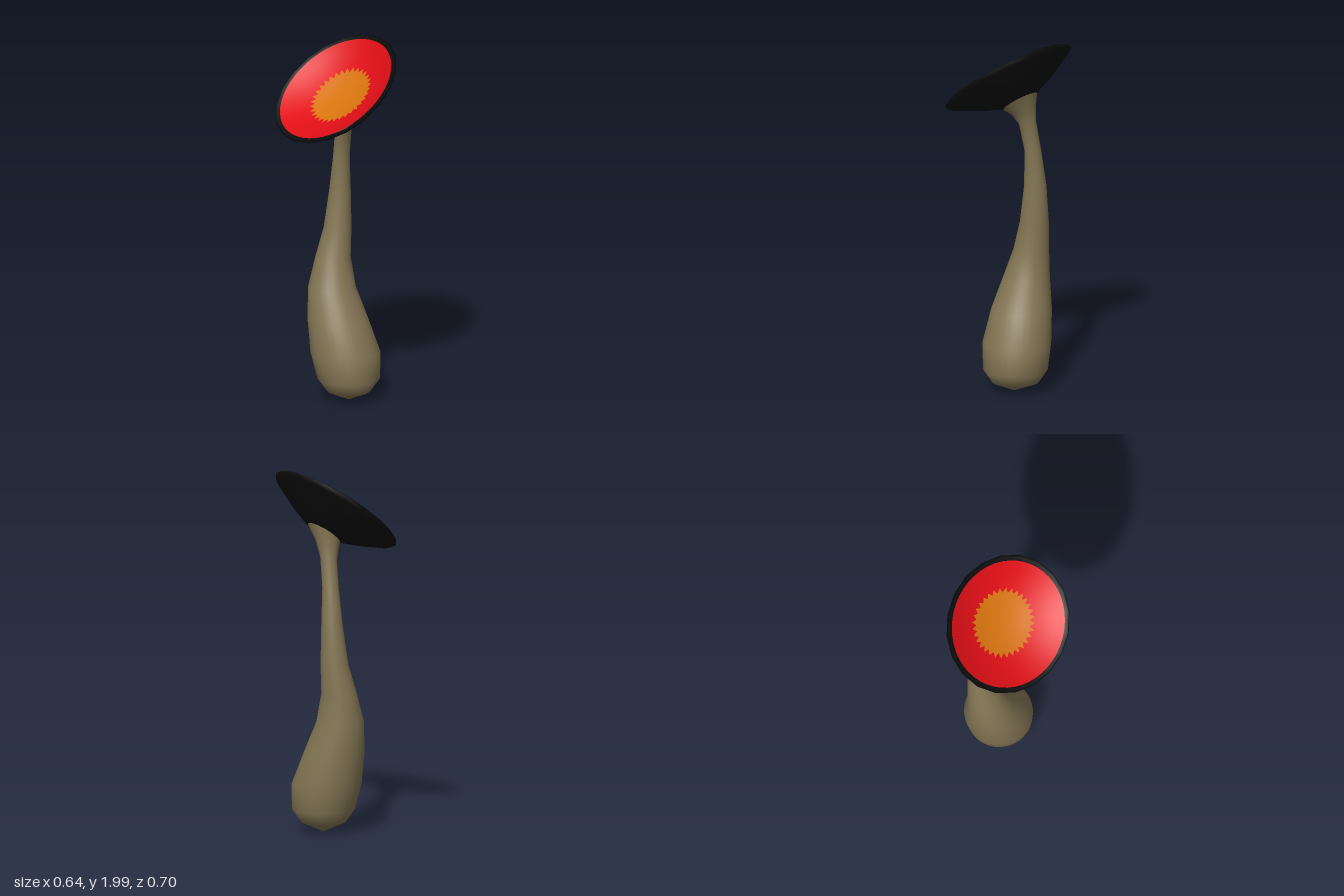
import * as THREE from 'three';
import { mergeVertices } from 'three/addons/utils/BufferGeometryUtils.js';

const UP = new THREE.Vector3(0, 1, 0);
const FACING = new THREE.Vector3(-0.51, 0.78, 0.36).normalize();
const TILT = new THREE.Quaternion().setFromUnitVectors(UP, FACING);

// Stem cross-sections: y, centre x, centre z, radius x, radius z, share of the head's tilt
const SECTIONS = [
  [0.005, 0.07, -0.025, 0, 0, 0],
  [0.06, 0.07, -0.03, 0.12, 0.13, 0],
  [0.13, 0.07, -0.03, 0.17, 0.175, 0],
  [0.27, 0.053, -0.04, 0.188, 0.185, 0],
  [0.45, 0.013, -0.073, 0.163, 0.163, 0],
  [0.62, -0.017, -0.105, 0.128, 0.125, 0],
  [0.78, -0.01, -0.13, 0.095, 0.095, 0],
  [0.94, 0.015, -0.142, 0.075, 0.078, 0],
  [1.15, 0.028, -0.145, 0.058, 0.06, 0],
  [1.35, 0.035, -0.13, 0.045, 0.045, 0.1],
  [1.51, 0.045, -0.1, 0.046, 0.047, 0.4],
  [1.58, 0.053, -0.08, 0.068, 0.068, 0.8],
  [1.64, 0.068, -0.057, 0.1, 0.1, 1],
];

const part = (name, geometry, color) => {
  const mesh = new THREE.Mesh(geometry, new THREE.MeshStandardMaterial({ color, roughness: 0.8 }));
  mesh.name = name;
  return mesh;
};

// Weld the seam and smooth the normals
function smooth(geometry) {
  geometry.deleteAttribute('uv');
  geometry.deleteAttribute('normal');
  const welded = mergeVertices(geometry, 1e-5);
  welded.computeVertexNormals();
  return welded;
}

const lathe = (points, sides) =>
  new THREE.LatheGeometry(points.map(([r, y]) => new THREE.Vector2(r, y)), sides);

// A unit tube whose rings are moved onto the cross-sections
function stemGeometry() {
  const geo = lathe(SECTIONS.map((s, i) => [1, i]), 32);
  const pos = geo.attributes.position;
  const v = new THREE.Vector3();
  const turn = new THREE.Quaternion();
  for (let i = 0; i < pos.count; i++) {
    const [y, cx, cz, rx, rz, tilt] = SECTIONS[Math.round(pos.getY(i))];
    turn.identity().slerp(TILT, tilt);
    v.set(pos.getX(i) * rx, 0, pos.getZ(i) * rz).applyQuaternion(turn);
    pos.setXYZ(i, v.x + cx, v.y + y, v.z + cz);
  }
  return smooth(geo);
}

// Shallow bowl seen inside the head, drawn from the outside in
const DISH_RADIUS = 0.345;
const dishY = (r) => -0.08 + 0.082 * (r / DISH_RADIUS) ** 2;
function dishGeometry(radius, rings, sides, lift) {
  const points = [];
  for (let i = rings; i >= 0; i--) {
    const r = (radius * i) / rings;
    points.push([r, dishY(r) + lift]);
  }
  return lathe(points, sides);
}

// Centre patch with a zigzag edge: every other outer point is pulled in
function starGeometry(tips) {
  const tip = 0.192, valley = 0.164, rings = 5;
  const lift = 0.004;
  const geo = dishGeometry(tip, rings, tips * 2, lift);
  const pos = geo.attributes.position;
  for (let i = 0; i < pos.count; i++) {
    const column = Math.floor(i / (rings + 1));
    const x = pos.getX(i), z = pos.getZ(i);
    const r = Math.hypot(x, z);
    let target = r * 0.85;
    if (i % (rings + 1) === 0) target = column % 2 ? valley : tip;
    const k = r > 1e-6 ? target / r : 0;
    pos.setXYZ(i, x * k, dishY(target) + lift, z * k);
  }
  return smooth(geo);
}

export function createModel() {
  const model = new THREE.Group();
  model.name = 'cupFungus';
  model.add(part('stem', stemGeometry(), 0x857755));

  // Tilted head: dark cup with a rolled rim, red dish and orange star
  const head = new THREE.Group();
  head.name = 'head';
  head.position.set(0, 1.762, 0);
  head.quaternion.copy(TILT);
  const cup = lathe([
    [0, -0.16], [0.1, -0.148], [0.24, -0.085], [0.355, -0.022],
    [0.377, -0.002], [0.366, 0.005], [0.335, -0.012],
  ], 20);
  head.add(
    part('cup', smooth(cup), 0x0c0c0c),
    part('dish', smooth(dishGeometry(DISH_RADIUS, 7, 48, 0)), 0xe00e16),
    part('centreStar', starGeometry(32), 0xd8740e),
  );
  model.add(head);
  return model;
}
